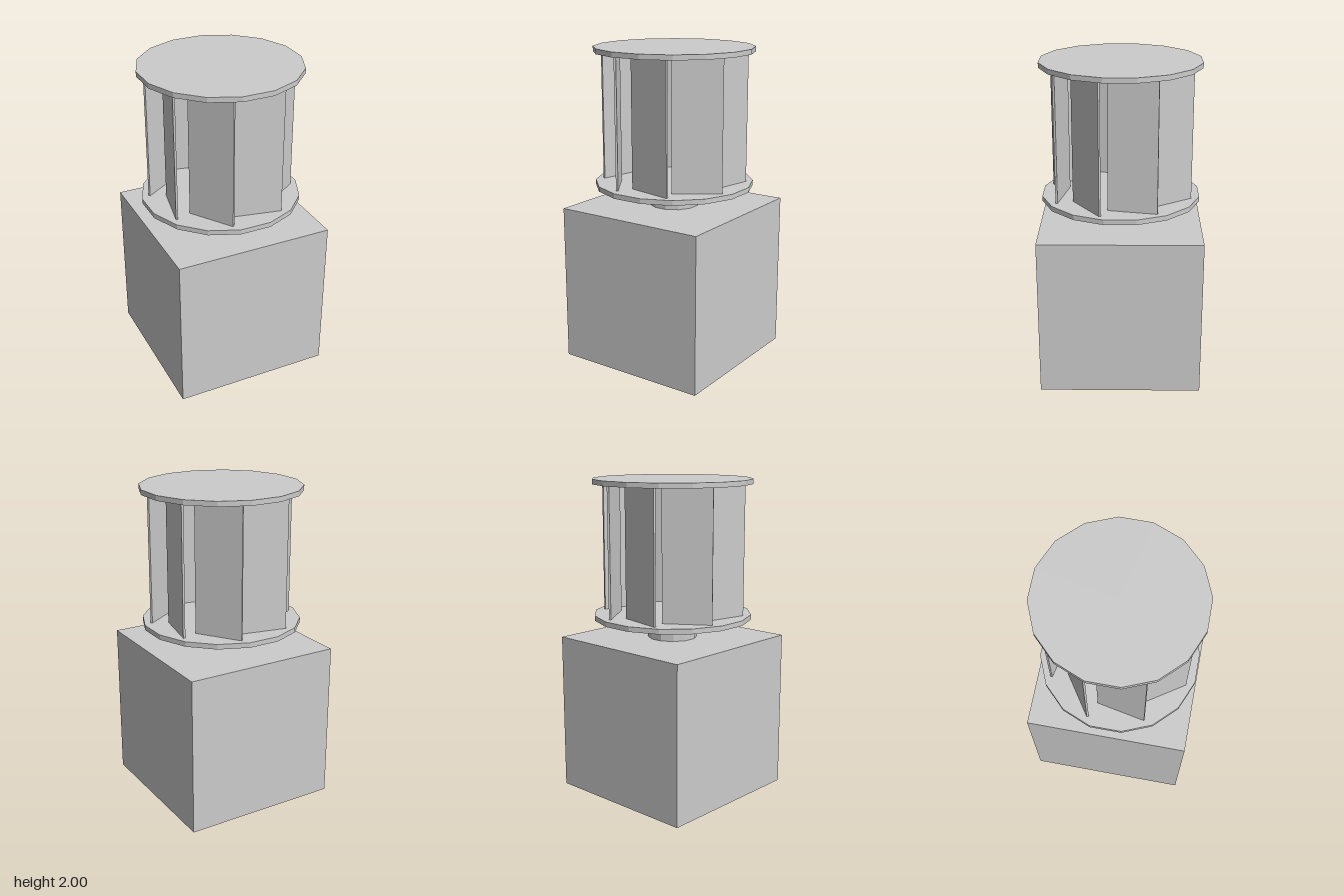
import * as THREE from 'three';

const material = new THREE.MeshStandardMaterial({ color: 0xcccccc, flatShading: true });

function addMesh(parent, name, geometry, y) {
  const mesh = new THREE.Mesh(geometry, material);
  mesh.name = name;
  mesh.position.y = y;
  parent.add(mesh);
  return mesh;
}

// Upright prism standing on y, turned so flat sides face the axes
function addPrism(parent, name, radius, height, sides, y) {
  const geometry = new THREE.CylinderGeometry(radius, radius, height, sides);
  geometry.rotateY(Math.PI / sides);
  return addMesh(parent, name, geometry, y + height / 2);
}

export function createModel() {
  const model = new THREE.Group();
  model.name = 'ventTurbine';

  // Base block
  addMesh(model, 'baseBlock', new THREE.BoxGeometry(1, 1, 1), 0.5);

  // Bearing and shaft
  addPrism(model, 'bearing', 0.156, 0.0625, 12, 1);
  addPrism(model, 'shaft', 0.0625, 0.0625, 8, 1.0625);

  // Rotor end plates
  const rotor = new THREE.Group();
  rotor.name = 'rotor';
  model.add(rotor);
  const plate = 0.03125;
  addPrism(rotor, 'lowerPlate', 0.5, plate, 16, 1.125);
  addPrism(rotor, 'upperPlate', 0.5, plate, 16, 2 - plate);

  // Eight angled blades between the plates
  const bladeHeight = 2 - plate - (1.125 + plate);
  const bladeGeometry = new THREE.BoxGeometry(0.304, bladeHeight, 0.013);
  bladeGeometry.rotateY(-Math.PI / 16);
  bladeGeometry.translate(0.074, 0, 0.362);
  for (let i = 0; i < 8; i++) {
    const blade = addMesh(rotor, 'blade', bladeGeometry, 1.125 + plate + bladeHeight / 2);
    blade.rotation.y = (i * Math.PI) / 4;
  }

  return model;
}
